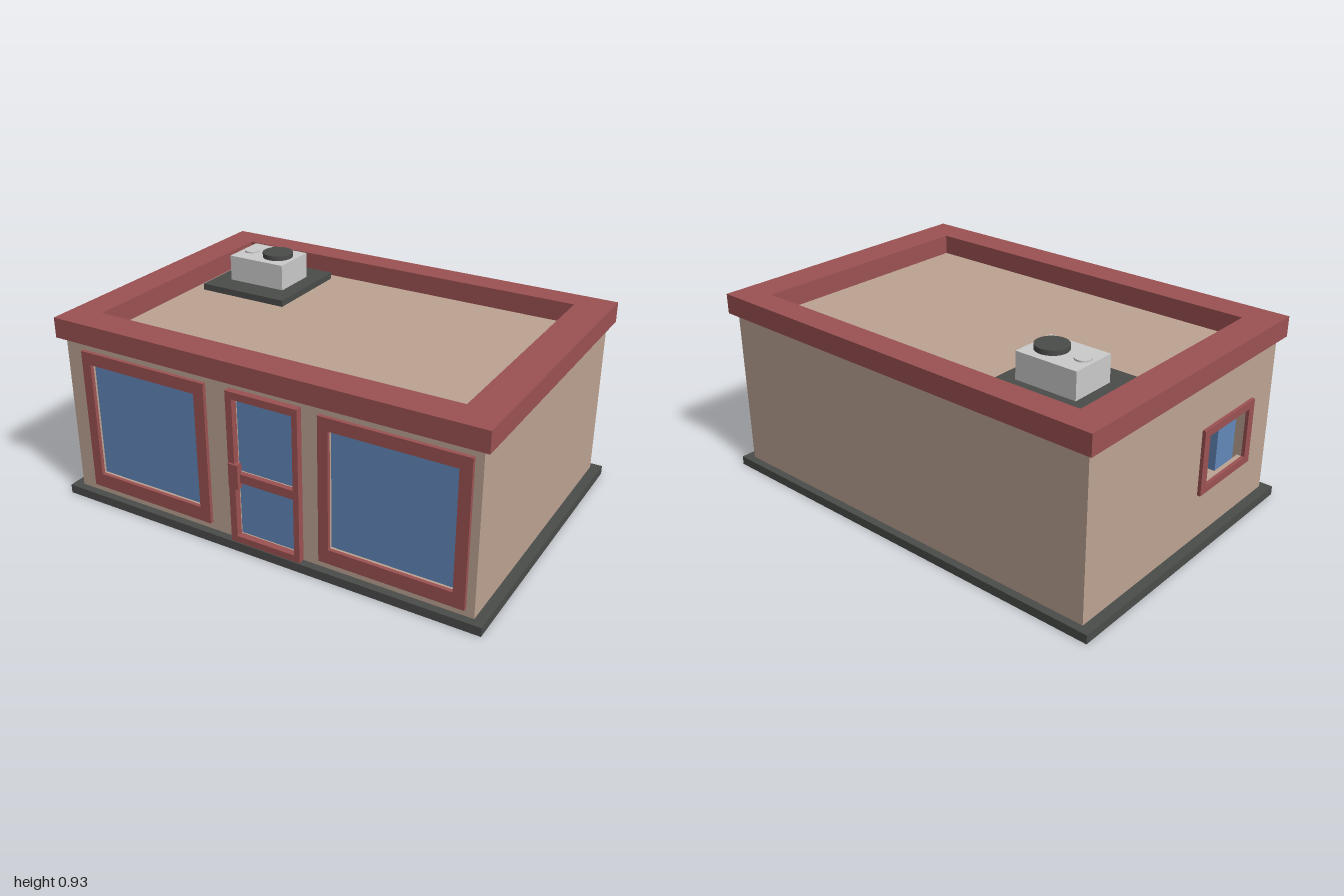
import * as THREE from 'three';

const mat = (color) => new THREE.MeshStandardMaterial({ color });
const TAN = mat(0xbda493), RED = mat(0x9c5252), BLUE = mat(0x6287b9);
const DARK = mat(0x4b4d4b), GREY = mat(0xcccccc);

function add(parent, name, geometry, material) {
  const mesh = new THREE.Mesh(geometry, material);
  mesh.name = name;
  parent.add(mesh);
  return mesh;
}

// Box given by its limits on each axis
function box(parent, name, material, [x0, x1], [y0, y1], [z0, z1]) {
  const mesh = add(parent, name, new THREE.BoxGeometry(x1 - x0, y1 - y0, z1 - z0), material);
  mesh.position.set((x0 + x1) / 2, (y0 + y1) / 2, (z0 + z1) / 2);
  return mesh;
}

// Rectangular panel in the XY plane with rectangular holes; rect = [x0, x1, y0, y1]
function panel(parent, name, material, rect, holes, depth) {
  const trace = (path, [x0, x1, y0, y1]) =>
    path.moveTo(x0, y0).lineTo(x1, y0).lineTo(x1, y1).lineTo(x0, y1).closePath();
  const shape = new THREE.Shape();
  trace(shape, rect);
  for (const hole of holes) {
    const path = new THREE.Path();
    trace(path, hole);
    shape.holes.push(path);
  }
  return add(parent, name, new THREE.ExtrudeGeometry(shape, { depth, bevelEnabled: false }), material);
}

export function createModel() {
  const model = new THREE.Group();

  // Ground slab and floor
  box(model, 'foundation', DARK, [-1, 1], [0, 0.04], [-0.685, 0.685]);
  box(model, 'floor', TAN, [-0.94, 0.94], [0.04, 0.045], [-0.635, 0.635]);

  // Openings in the front and side walls
  const windows = [[-0.82, -0.285, 0.14, 0.665], [0.335, 0.87, 0.14, 0.665]];
  const doorPanes = [[-0.09, 0.185, 0.07, 0.325], [-0.09, 0.185, 0.365, 0.695]];
  const sideOpening = [0.14, 0.445, 0.28, 0.505];

  // Walls
  const wallTop = 0.77, t = 0.02;
  panel(model, 'frontWall', TAN, [-0.955, 0.955, 0.04, wallTop], [...windows, ...doorPanes], t)
    .position.z = 0.65 - t;
  box(model, 'backWall', TAN, [-0.955, 0.955], [0.04, wallTop], [-0.65, -0.65 + t]);
  box(model, 'leftWall', TAN, [0.955 - t, 0.955], [0.04, wallTop], [-0.65 + t, 0.65 - t]);
  const rightWall = panel(model, 'rightWall', TAN, [-0.65 + t, 0.65 - t, 0.04, wallTop], [sideOpening], t);
  rightWall.rotation.y = -Math.PI / 2;
  rightWall.position.x = -0.955 + t;

  // Roof deck inside a raised parapet
  box(model, 'roofDeck', TAN, [-0.93, 0.93], [0.735, 0.755], [-0.63, 0.63]);
  const parapet = panel(model, 'parapet', RED, [-0.985, 0.985, -0.68, 0.68],
    [[-0.845, 0.83, -0.54, 0.56]], 0.09);
  parapet.rotation.x = -Math.PI / 2;
  parapet.position.y = 0.76;

  // Front windows: raised frames with deep glass blocks
  for (const hole of windows) {
    const [x0, x1, y0, y1] = hole;
    const unit = new THREE.Group();
    unit.name = 'frontWindow';
    model.add(unit);
    panel(unit, 'windowFrame', RED, [x0 - 0.045, x1 + 0.05, y0 - 0.065, y1 + 0.055], [hole], 0.017)
      .position.z = 0.65;
    box(unit, 'windowGlass', BLUE, [x0, x1], [y0, y1], [0.48, 0.64]);
  }

  // Door with two panes and a handle
  const door = new THREE.Group();
  door.name = 'door';
  model.add(door);
  panel(door, 'doorFrame', RED, [-0.12, 0.21, 0.04, 0.727], [[-0.09, 0.185, 0.07, 0.695]], 0.03)
    .position.z = 0.65;
  box(door, 'doorRail', RED, [-0.09, 0.185], [0.325, 0.365], [0.63, 0.673]);
  for (const [x0, x1, y0, y1] of doorPanes) {
    box(door, 'doorGlass', BLUE, [x0, x1], [y0, y1], [0.6, 0.645]);
  }
  box(door, 'doorHandle', RED, [-0.115, -0.07], [0.3, 0.41], [0.66, 0.689]);

  // Unglazed service window on the right side
  const sideFrame = panel(model, 'sideWindowFrame', RED, [0.1, 0.485, 0.245, 0.54], [sideOpening], 0.015);
  sideFrame.rotation.y = -Math.PI / 2;
  sideFrame.position.x = -0.955;

  // Rooftop ventilation unit
  const vent = new THREE.Group();
  vent.name = 'rooftopUnit';
  model.add(vent);
  box(vent, 'unitPad', DARK, [-0.8, -0.365], [0.755, 0.785], [-0.53, -0.1]);
  box(vent, 'unitHousing', GREY, [-0.72, -0.435], [0.785, 0.903], [-0.42, -0.21]);
  add(vent, 'fanCap', new THREE.CylinderGeometry(0.07, 0.07, 0.022, 32), DARK)
    .position.set(-0.525, 0.914, -0.315);
  add(vent, 'smallCap', new THREE.CylinderGeometry(0.035, 0.035, 0.007, 24), GREY)
    .position.set(-0.67, 0.9065, -0.315);

  return model;
}
